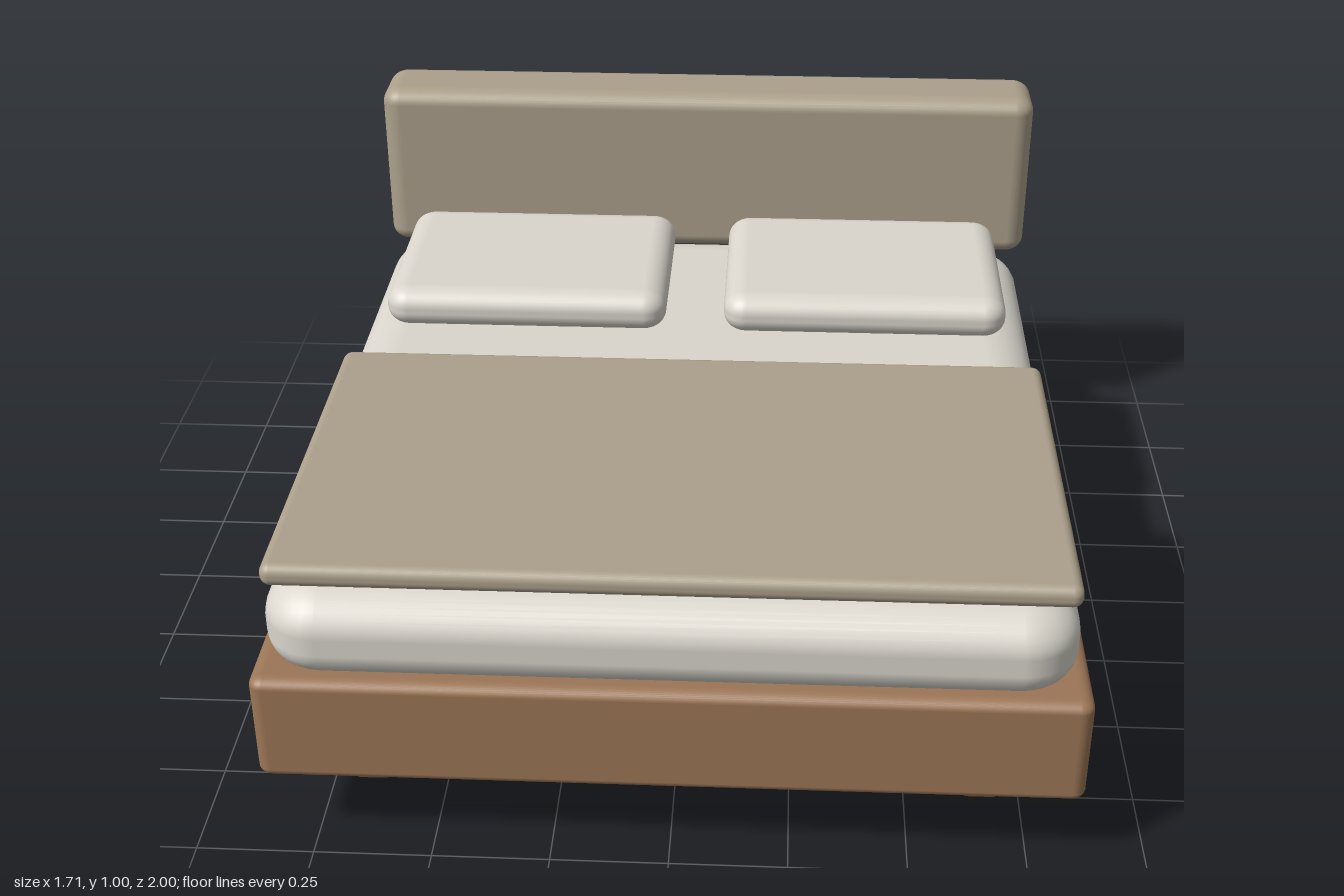
import * as THREE from 'three';
import { RoundedBoxGeometry } from 'three/addons/geometries/RoundedBoxGeometry.js';

const material = (name, color) => {
  const m = new THREE.MeshStandardMaterial({ color });
  m.name = name;
  return m;
};

export function createModel() {
  const bed = new THREE.Group();
  bed.name = 'bed';
  const wood = material('wood', 0x9c7656);
  const fabric = material('taupe fabric', 0xaca08b);
  const linen = material('off white linen', 0xdad6cd);

  // Rounded block between two corners; radius in plan, squash flattens the rounding in height
  function block(name, mat, [x0, x1], [y0, y1], [z0, z1], radius, squash = 1) {
    const geo = new RoundedBoxGeometry(x1 - x0, (y1 - y0) / squash, z1 - z0, 4, radius);
    geo.scale(1, squash, 1);
    const mesh = new THREE.Mesh(geo, mat);
    mesh.name = name;
    mesh.position.set((x0 + x1) / 2, (y0 + y1) / 2, (z0 + z1) / 2);
    bed.add(mesh);
  }

  // Wooden base and headboard
  block('frame', wood, [-0.855, 0.855], [0.18, 0.427], [-0.985, 0.98], 0.03, 0.7);
  block('headboard', fabric, [-0.855, 0.855], [0.565, 1], [-1, -0.795], 0.048, 0.8);

  // Bedding
  block('mattress', linen, [-0.82, 0.82], [0.428, 0.635], [-0.76, 1], 0.12, 0.7);
  block('blanket', fabric, [-0.812, 0.812], [0.638, 0.688], [0.04, 0.95], 0.022);

  // Mirrored pillows and the four legs
  for (const side of [-1, 1]) {
    const span = (a, b) => (side > 0 ? [a, b] : [-b, -a]);
    block(side > 0 ? 'leftPillow' : 'rightPillow', linen, span(0.07, 0.75), [0.643, 0.742], [-0.658, -0.142], 0.055, 0.8);
    block('frontLeg', wood, span(0.612, 0.72), [0, 0.15], [0.637, 0.772], 0.03, 0.7);
    block('backLeg', wood, span(0.612, 0.72), [0, 0.15], [-0.776, -0.641], 0.03, 0.7);
  }
  return bed;
}
